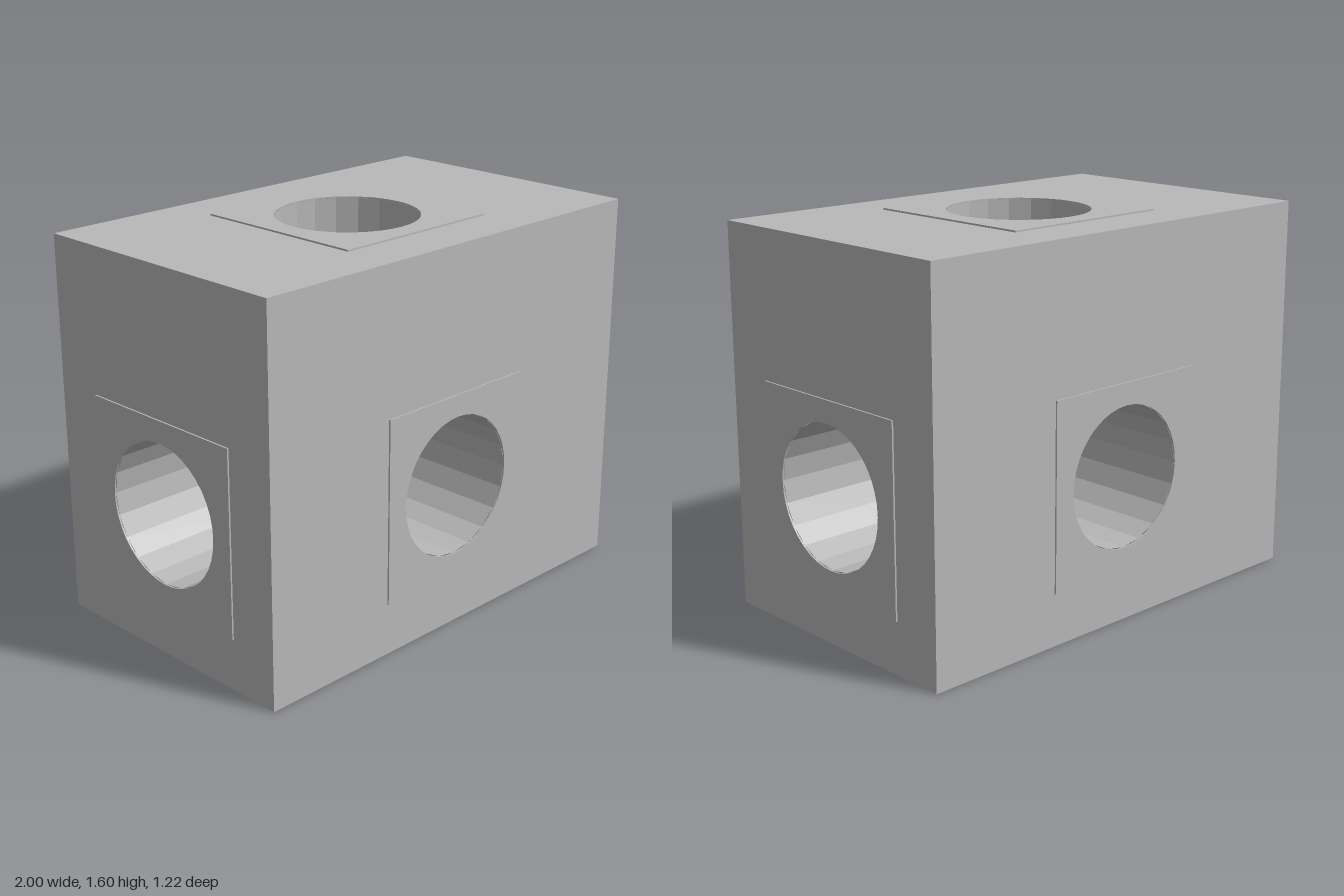
import * as THREE from 'three';

const W = 1.986, H = 1.597, D = 1.206;   // block size
const PLATE = 0.774, LIFT = 0.007;       // raised square around each hole
const R = 0.295, DEPTH = 0.535, SIDES = 20;
const HOLE_Y = 0.605;                    // height of the holes in the walls

const grey = new THREE.MeshStandardMaterial({ color: 0xb8b8b9 });
grey.name = 'grey';

// Rectangle with a round hole at the origin
function holedRect(x0, x1, y0, y1) {
  const shape = new THREE.Shape();
  shape.moveTo(x0, y0).lineTo(x1, y0).lineTo(x1, y1).lineTo(x0, y1).closePath();
  const hole = new THREE.Path();
  hole.absarc(0, 0, R, 0, Math.PI * 2, true);
  shape.holes.push(hole);
  return shape;
}

// One block face looking along +z, with its plate and blind hole at the origin
function portFace(name, width, y0, y1) {
  const group = new THREE.Group();
  group.name = name;
  const add = (part, geometry) => {
    const mesh = new THREE.Mesh(geometry, grey);
    mesh.name = part;
    group.add(mesh);
    return mesh;
  };

  add('blockFace', new THREE.ShapeGeometry(holedRect(-width / 2, width / 2, y0, y1), SIDES));

  const p = PLATE / 2;
  add('raisedPlate', new THREE.ExtrudeGeometry(holedRect(-p, p, -p, p), {
    depth: LIFT, bevelEnabled: false, curveSegments: SIDES,
  }));

  // Mirroring turns the faceted wall inward
  const wall = new THREE.CylinderGeometry(R, R, DEPTH, SIDES, 1, true)
    .rotateX(Math.PI / 2).scale(-1, 1, 1).toNonIndexed();
  wall.computeVertexNormals();
  add('holeWall', wall).position.z = -DEPTH / 2;

  add('holeFloor', new THREE.CircleGeometry(R, SIDES)).position.z = -DEPTH;
  return group;
}

export function createModel() {
  const model = new THREE.Group();
  model.name = 'portedBlock';

  // Four walls
  const walls = [
    ['frontFace', W, D / 2], ['leftFace', D, W / 2],
    ['backFace', W, D / 2], ['rightFace', D, W / 2],
  ];
  walls.forEach(([name, width, out], i) => {
    const face = portFace(name, width, -HOLE_Y, H - HOLE_Y);
    const angle = i * Math.PI / 2;
    face.rotation.y = angle;
    face.position.set(Math.sin(angle) * out, HOLE_Y, Math.cos(angle) * out);
    model.add(face);
  });

  // Top
  const top = portFace('topFace', W, -D / 2, D / 2);
  top.rotation.x = -Math.PI / 2;
  top.position.y = H;
  model.add(top);

  // Plain underside
  const bottom = new THREE.Mesh(new THREE.PlaneGeometry(W, D), grey);
  bottom.name = 'underside';
  bottom.rotation.x = Math.PI / 2;
  model.add(bottom);

  return model;
}
